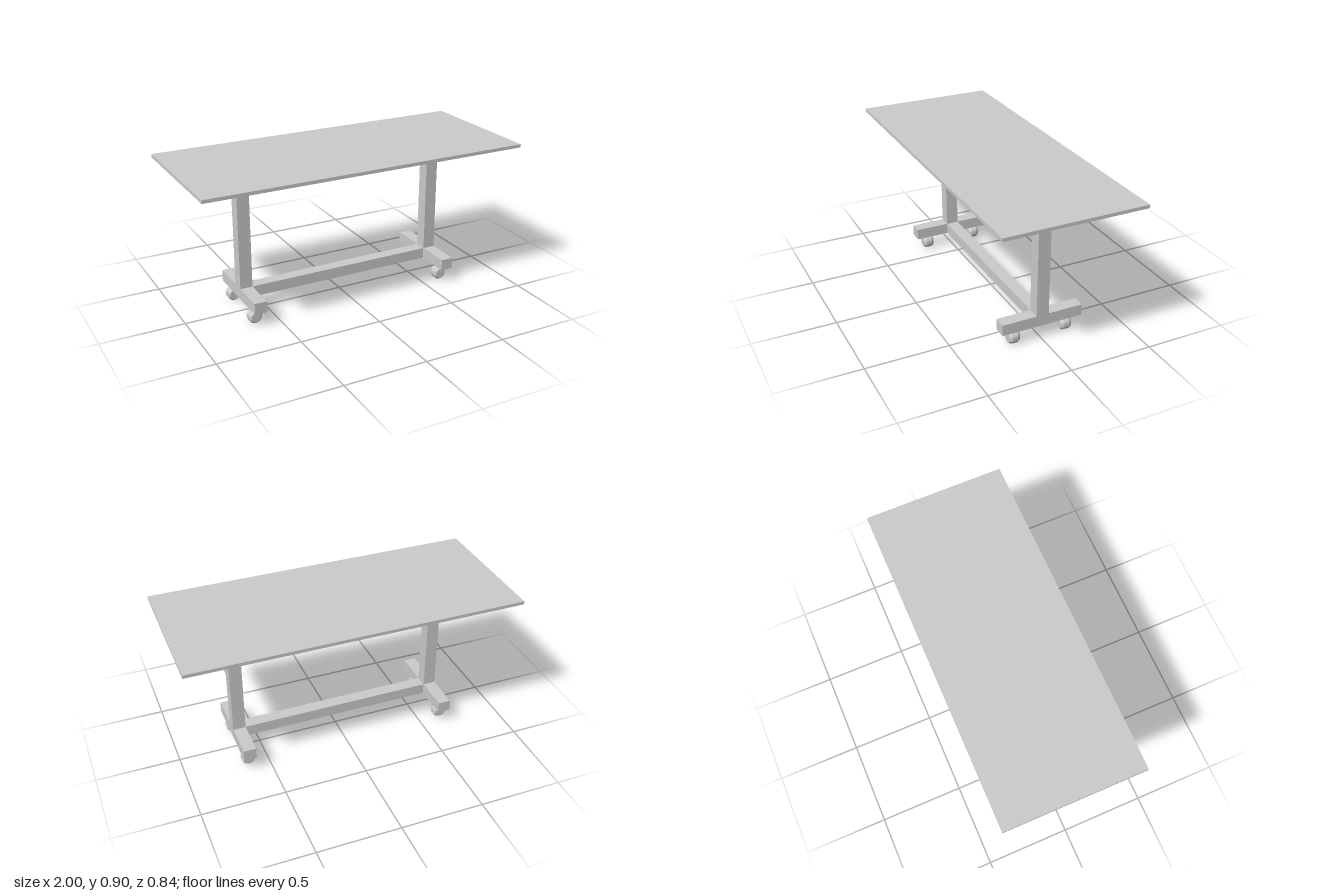
import * as THREE from 'three';
import { toCreasedNormals } from 'three/addons/utils/BufferGeometryUtils.js';

export function createModel() {
  const model = new THREE.Group();
  model.name = 'rollingTable';
  const material = new THREE.MeshStandardMaterial({ color: 0xcccccc });

  const add = (name, geometry, x, y, z, parent = model) => {
    const mesh = new THREE.Mesh(geometry, material);
    mesh.name = name;
    mesh.position.set(x, y, z);
    parent.add(mesh);
    return mesh;
  };
  const box = (name, w, h, d, x, y, z) => add(name, new THREE.BoxGeometry(w, h, d), x, y, z);

  // Top and the stretcher joining the two feet
  box('tableTop', 2, 0.02, 0.844, 0, 0.893, 0);
  box('stretcher', 1.18, 0.067, 0.076, 0, 0.1275, 0);

  // Caster wheel: a barrel with chamfered rims, turned about z
  const profile = [[0, -0.033], [0.031, -0.033], [0.041, -0.018], [0.041, 0.018], [0.031, 0.033], [0, 0.033]]
    .map(([r, y]) => new THREE.Vector2(r, y));
  const wheelGeometry = toCreasedNormals(new THREE.LatheGeometry(profile, 32).rotateX(Math.PI / 2), 0.5);
  const stemGeometry = new THREE.CylinderGeometry(0.015, 0.015, 0.02, 20);

  for (const side of [-1, 1]) {
    const label = side > 0 ? 'left' : 'right';
    const x = side * 0.63;
    // Column standing on a foot
    box(label + 'Column', 0.076, 0.723, 0.077, x, 0.5225, 0);
    box(label + 'Foot', 0.076, 0.069, 0.504, x, 0.1265, -0.002);

    // Casters at the front and back of the foot
    for (const z of [0.165, -0.165]) {
      const caster = new THREE.Group();
      caster.name = label + (z > 0 ? 'Front' : 'Back') + 'Caster';
      caster.position.set(x - 0.008, 0, z);
      add('wheel', wheelGeometry, 0, 0.042, 0, caster);
      add('stem', stemGeometry, 0.004, 0.085, 0, caster);
      model.add(caster);
    }
  }
  return model;
}
